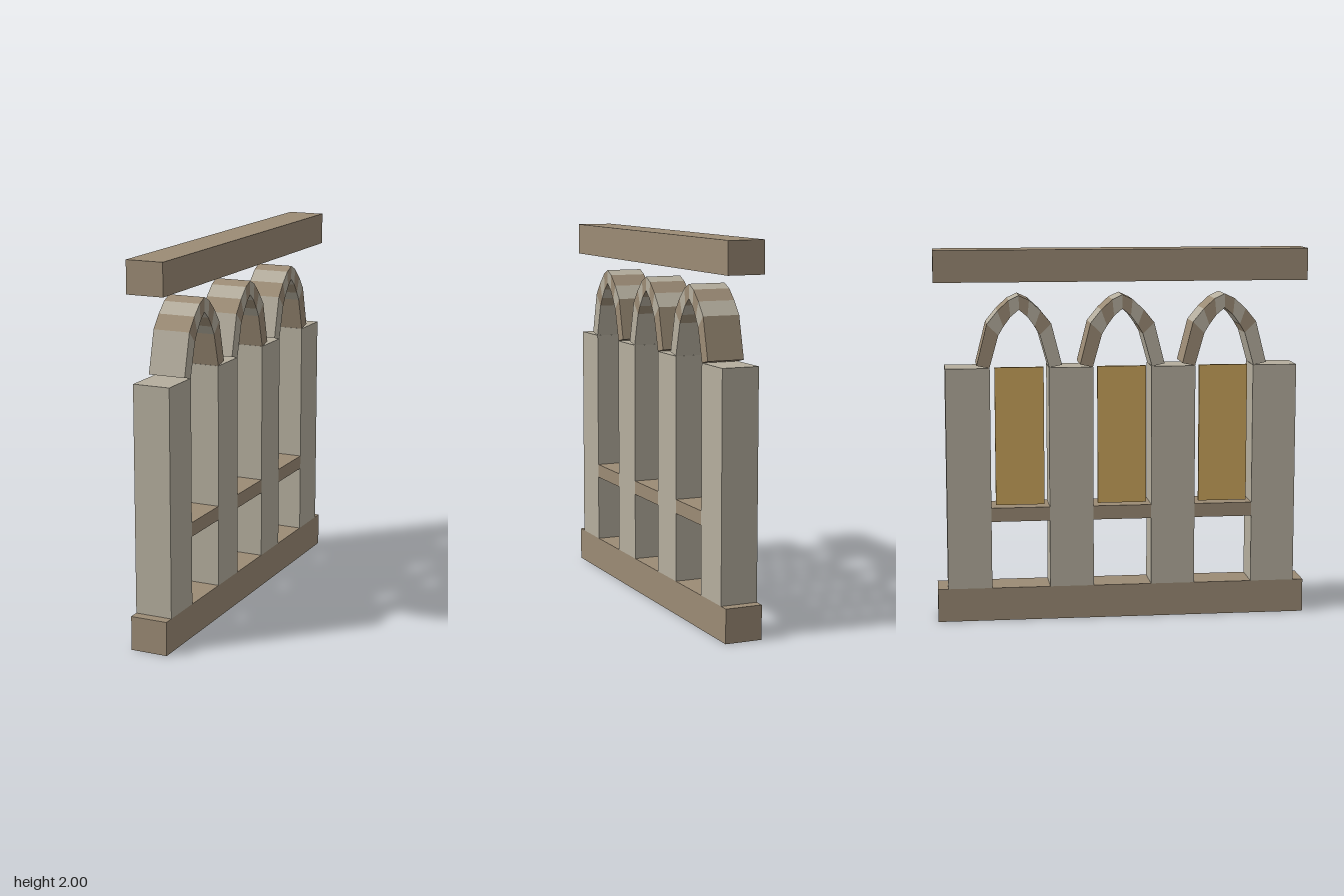
import * as THREE from 'three';

function mat(name, color) {
  const m = new THREE.MeshStandardMaterial({ color });
  m.name = name;
  return m;
}

export function createModel() {
  const group = new THREE.Group();
  const stone = mat('pale stone', 0xb5ae9e);
  const trim = mat('brown stone', 0x9b8b75);
  const amber = mat('amber glass', 0xcaa45c);
  const DEPTH = 0.2, BAY = 0.551;

  function add(name, geometry, material, parent = group) {
    const mesh = new THREE.Mesh(geometry, material);
    mesh.name = name;
    parent.add(mesh);
    return mesh;
  }

  // Box running from y0 to y1, centred on x and z
  function block(name, material, width, y0, y1, length, x, z) {
    add(name, new THREE.BoxGeometry(width, y1 - y0, length), material)
      .position.set(x, (y0 + y1) / 2, z);
  }

  // Base and top beam
  block('baseBeam', trim, DEPTH, 0, 0.18, 2, 0, 0);
  block('topBeam', trim, DEPTH, 1.83, 2, 2, 0, 0);

  // Four pillars
  for (let i = 0; i < 4; i++) {
    block('pillar', stone, DEPTH, 0.18, 1.375, 0.237, 0, (1.5 - i) * BAY);
  }

  // Joints of half an arch, foot to apex: outer z, y, inner z, y
  const half = [
    [0.227, 1.39, 0.159, 1.375],
    [0.171, 1.61, 0.11, 1.55],
    [0.114, 1.68, 0.083, 1.595],
    [0.054, 1.735, 0.045, 1.647],
    [0, 1.76, 0, 1.685],
  ];
  const mirrored = half.slice(0, -1).reverse().map(([a, b, c, d]) => [-a, b, -c, d]);
  const joints = [...half, ...mirrored];

  // Wedge-shaped arch stone between two joints
  function wedge(p, q) {
    const shape = new THREE.Shape([
      new THREE.Vector2(p[0], p[1]), new THREE.Vector2(q[0], q[1]),
      new THREE.Vector2(q[2], q[3]), new THREE.Vector2(p[2], p[3]),
    ]);
    const g = new THREE.ExtrudeGeometry(shape, { depth: DEPTH, bevelEnabled: false });
    return g.translate(0, 0, -DEPTH / 2).rotateY(-Math.PI / 2);
  }

  // Three bays: sill, recessed pane and pointed arch
  for (let i = -1; i <= 1; i++) {
    const z = i * BAY;
    block('sill', trim, DEPTH, 0.545, 0.62, 0.314, 0, z);
    block('pane', amber, 0.02, 0.63, 1.375, 0.262, -0.06, z);

    const arch = new THREE.Group();
    arch.name = 'arch';
    arch.position.z = z;
    for (let k = 0; k < joints.length - 1; k++) {
      add('archStone', wedge(joints[k], joints[k + 1]), k % 2 ? trim : stone, arch);
    }
    group.add(arch);
  }

  return group;
}
